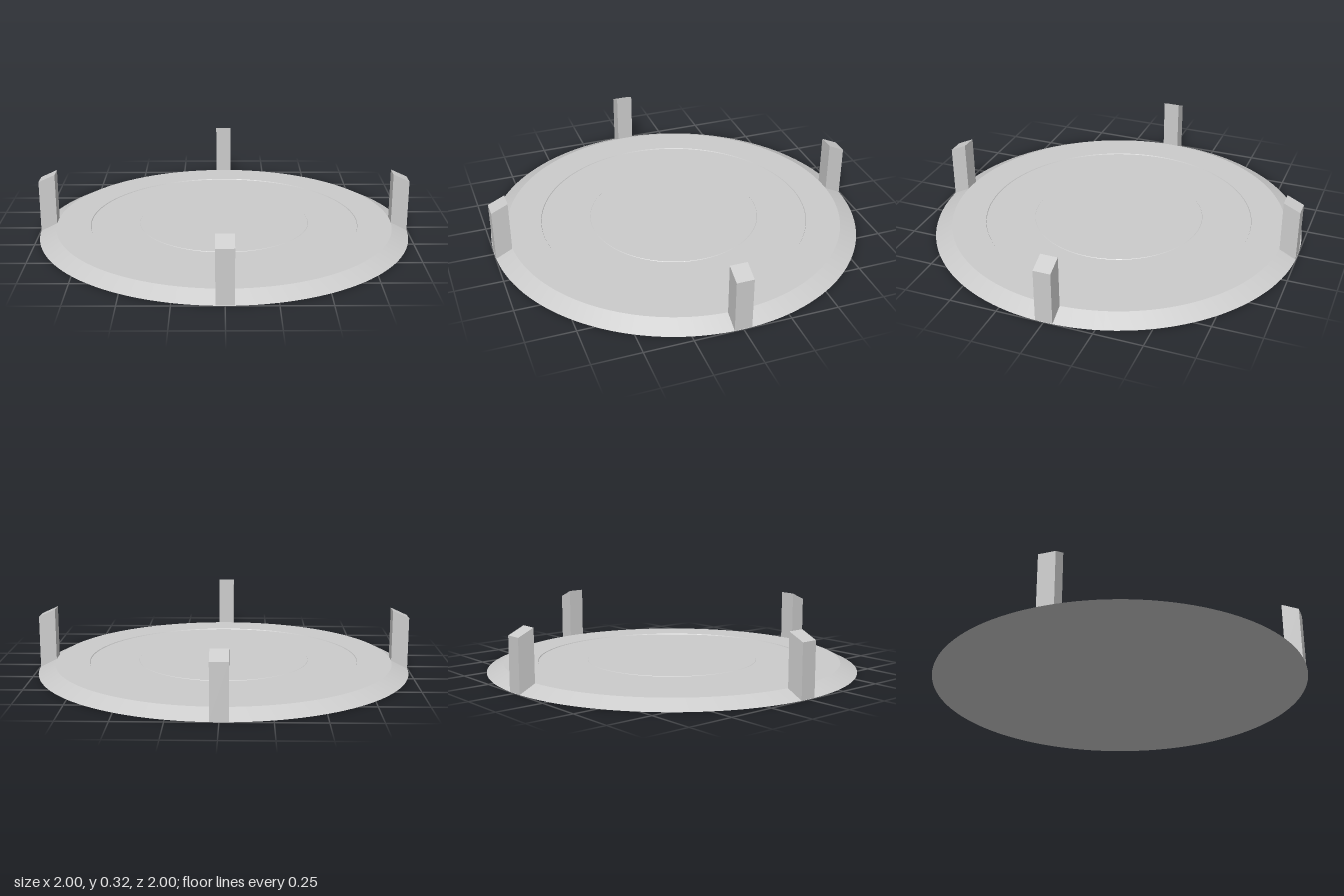
import * as THREE from 'three';
import { toCreasedNormals } from 'three/addons/utils/BufferGeometryUtils.js';

export function createModel() {
  const model = new THREE.Group();
  model.name = 'roundPlateWithPosts';
  const material = new THREE.MeshStandardMaterial({ color: 0xcccccc });

  // Round plate: flat underside, sloped rim, shallow recess and a faint centre step
  const profile = [
    [0, 0], [1, 0], [0.91, 0.045], [0.727, 0.045],
    [0.725, 0.041], [0.46, 0.041], [0.458, 0.043], [0, 0.043],
  ].map(([r, y]) => new THREE.Vector2(r, y));
  const plate = new THREE.Mesh(
    toCreasedNormals(new THREE.LatheGeometry(profile, 128), 0.3), material);
  plate.name = 'plate';
  model.add(plate);

  // Post side outline: the foot follows the rim slope, the top slants down outward
  const width = 0.09;
  const outline = new THREE.Shape([
    [0.91, 0.043], [0.998, 0], [0.998, 0.28], [0.91, 0.32],
  ].map(([x, y]) => new THREE.Vector2(x, y)));
  const postGeometry = new THREE.ExtrudeGeometry(outline, { depth: width, bevelEnabled: false });
  postGeometry.translate(0, 0, -width / 2);

  // Four posts, a quarter turn apart
  ['leftPost', 'backPost', 'rightPost', 'frontPost'].forEach((name, i) => {
    const post = new THREE.Mesh(postGeometry, material);
    post.name = name;
    post.rotation.y = i * Math.PI / 2;
    model.add(post);
  });

  return model;
}
